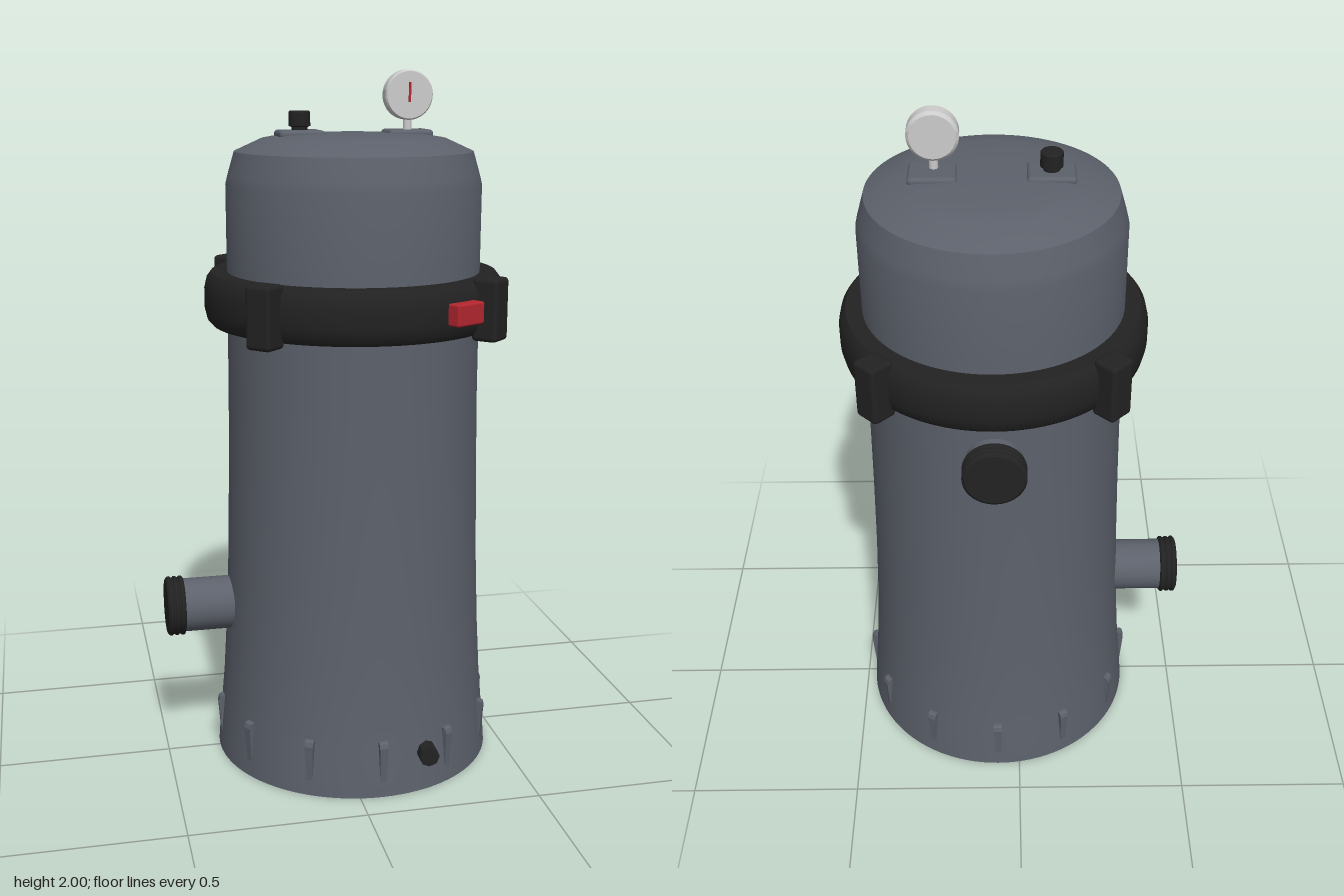
import * as THREE from 'three';
import { toCreasedNormals } from 'three/addons/utils/BufferGeometryUtils.js';
import { RoundedBoxGeometry } from 'three/addons/geometries/RoundedBoxGeometry.js';

const mat = (name, color) => {
  const m = new THREE.MeshStandardMaterial({ color });
  m.name = name;
  return m;
};

export function createModel() {
  const grey = mat('slate grey', 0x5c616b);
  const black = mat('black', 0x222222);
  const silver = mat('silver', 0xcccccc);
  const red = mat('red', 0xb3262e);

  const model = new THREE.Group();
  model.name = 'filterCanister';
  // everything is arranged around the vessel axis
  const vessel = new THREE.Group();
  vessel.name = 'vessel';
  vessel.position.set(0.066, 0, 0.005);
  model.add(vessel);

  const add = (name, geo, material, pos = [0, 0, 0], rot = [0, 0, 0], parent = vessel) => {
    const mesh = new THREE.Mesh(geo, material);
    mesh.name = name;
    mesh.position.set(...pos);
    mesh.rotation.set(...rot);
    parent.add(mesh);
    return mesh;
  };
  const lathe = (pts, seg = 96, crease = 0.3) =>
    toCreasedNormals(new THREE.LatheGeometry(pts.map(p => new THREE.Vector2(...p)), seg), crease);

  // flared tank and domed lid
  add('tank', lathe([[0, 0], [0.409, 0], [0.406, 0.04], [0.398, 0.13], [0.389, 0.23], [0.379, 0.4],
    [0.371, 0.6], [0.365, 0.85], [0.361, 1.1], [0.36, 1.37]]), grey);
  add('lid', lathe([[0.36, 1.37], [0.36, 1.69], [0.354, 1.715], [0.335, 1.78], [0.258, 1.815],
    [0.2, 1.825], [0.1, 1.829], [0, 1.83]]), grey);

  // clamp ring
  add('clampRing', lathe([[0.35, 1.3], [0.405, 1.3], [0.418, 1.315], [0.425, 1.345], [0.425, 1.4],
    [0.418, 1.43], [0.405, 1.447], [0.35, 1.447]], 96, 0.5), black);

  // four clamp blocks on the diagonals
  for (let i = 0; i < 4; i++) {
    const a = Math.PI / 4 + i * Math.PI / 2;
    add('clampBlock', new RoundedBoxGeometry(0.078, 0.172, 0.075, 3, 0.012), black,
      [Math.sin(a) * 0.437, 1.372, Math.cos(a) * 0.437], [0, a, 0]);
  }

  // red latch
  const la = Math.PI / 6;
  add('latch', new RoundedBoxGeometry(0.102, 0.06, 0.045, 2, 0.006), red,
    [Math.sin(la) * 0.436, 1.374, Math.cos(la) * 0.436], [0, la, 0]);

  // twelve wedge ribs round the foot
  const ribShape = new THREE.Shape();
  [[0.38, 0.04], [0.405, 0.04], [0.413, 0.15], [0.409, 0.163], [0.402, 0.167], [0.38, 0.167]]
    .forEach(([x, y], i) => (i ? ribShape.lineTo(x, y) : ribShape.moveTo(x, y)));
  const ribGeo = new THREE.ExtrudeGeometry(ribShape, { depth: 0.026, bevelEnabled: false });
  ribGeo.translate(0, 0, -0.013);
  const rp = ribGeo.attributes.position;
  // narrow the rib towards its lower end
  for (let i = 0; i < rp.count; i++) {
    rp.setZ(i, rp.getZ(i) * (0.65 + 0.35 * (rp.getY(i) - 0.04) / 0.127));
  }
  ribGeo.computeVertexNormals();
  for (let i = 0; i < 12; i++) add('footRib', ribGeo, grey, [0, 0, 0], [0, i * Math.PI / 6, 0]);

  // ported pipe: local +y points outwards from the vessel axis
  const port = (name, length, y, rot) => {
    const g = new THREE.Group();
    g.name = name;
    g.position.y = y;
    g.rotation.set(...rot);
    vessel.add(g);
    add('pipe', new THREE.CylinderGeometry(0.078, 0.078, length - 0.32, 48), grey,
      [0, (length + 0.3) / 2, 0], [0, 0, 0], g);
    const b = length - 0.052;
    const pts = [[0, b], [0.08, b]];
    // raised grip bands
    for (let i = 0; i < 3; i++) {
      const s = b + i * 0.017;
      pts.push([0.083, s + 0.001], [0.087, s + 0.005], [0.087, s + 0.011], [0.083, s + 0.015]);
    }
    pts.push([0.078, length], [0, length]);
    add('portCap', lathe(pts, 48), black, [0, 0, 0], [0, 0, 0], g);
  };
  port('lowerPort', 0.562, 0.465, [0, 0, Math.PI / 2]);
  port('upperPort', 0.438, 1.165, [-Math.PI / 2, 0, 0]);

  // drain plug
  add('drainPlug', toCreasedNormals(new THREE.CylinderGeometry(0.029, 0.029, 0.06, 8), 0.4), black,
    [0.131, 0.115, 0.39], [Math.PI / 2, 0, 0]);

  // raised pads on the lid
  for (const x of [-0.154, 0.154]) {
    add('lidPad', new RoundedBoxGeometry(0.128, 0.024, 0.105, 3, 0.011), grey, [x, 1.826, 0]);
  }

  // bleed valve
  add('bleedKnob', lathe([[0, 1.83], [0.022, 1.83], [0.022, 1.846], [0.03, 1.849],
    [0.03, 1.886], [0.027, 1.89], [0, 1.89]], 24), black, [-0.154, 0, 0]);

  // pressure gauge
  const gauge = new THREE.Group();
  gauge.name = 'pressureGauge';
  gauge.position.set(0.15, 1.932, 0.015);
  vessel.add(gauge);
  add('stem', new THREE.CylinderGeometry(0.012, 0.012, 0.07, 20), silver, [0, -0.08, 0], [0, 0, 0], gauge);
  add('dial', lathe([[0, -0.024], [0.06, -0.024], [0.068, -0.016], [0.068, 0.018],
    [0.064, 0.024], [0, 0.024]], 48), silver, [0, 0, 0], [Math.PI / 2, 0, 0], gauge);
  add('needle', new THREE.BoxGeometry(0.006, 0.054, 0.004), red, [0, 0.008, 0.026], [0, 0, 0], gauge);

  return model;
}
